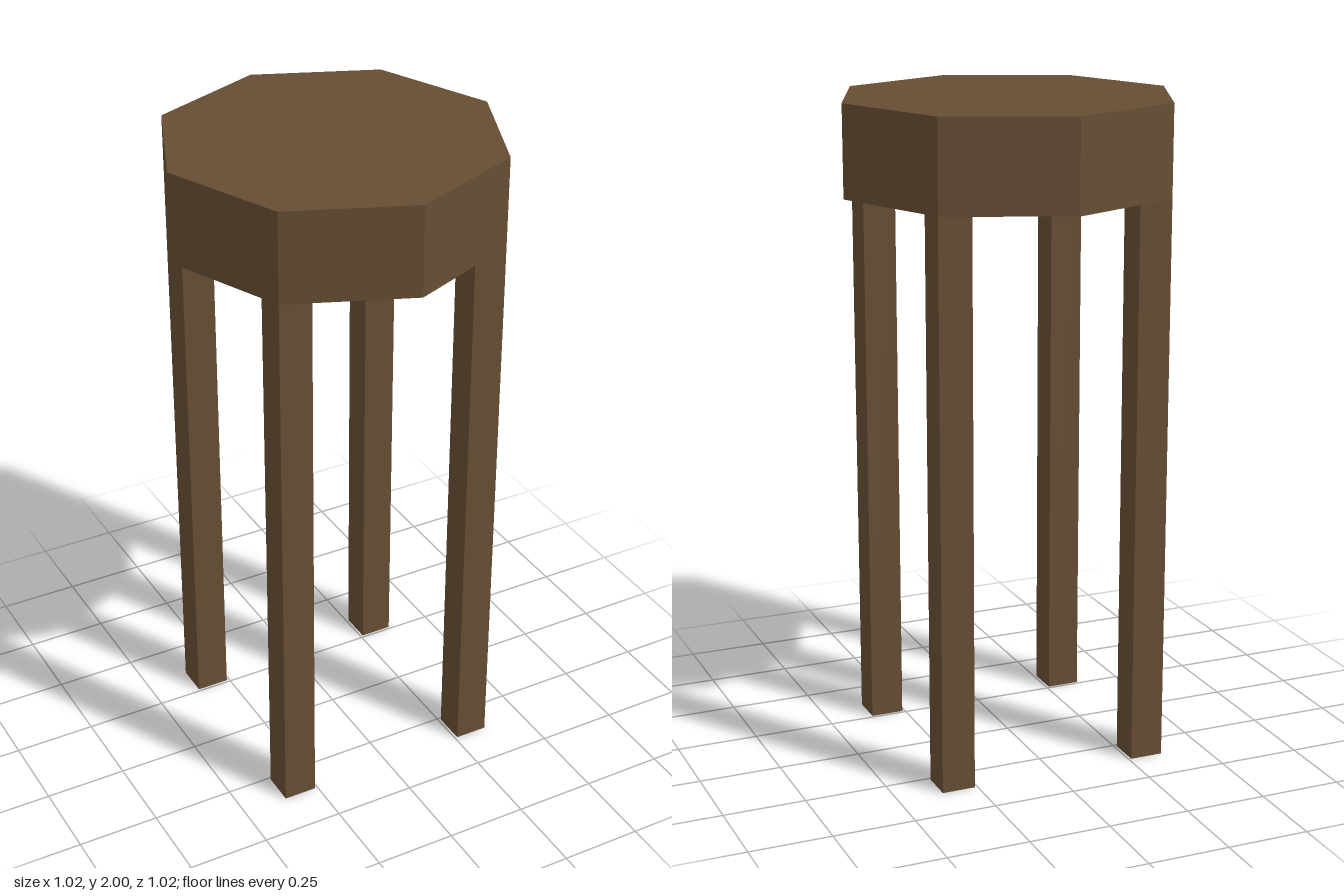
import * as THREE from 'three';

export function createModel() {
  const group = new THREE.Group();
  group.name = 'stool';
  const wood = new THREE.MeshStandardMaterial({ color: 0x664d33 });
  wood.name = 'brown wood';
  wood.flatShading = true;

  const height = 2, seatThickness = 0.275, seatRadius = 0.51;
  const legHeight = height - seatThickness, legWidth = 0.102;

  // Octagonal seat with corners on the x and z axes
  const seat = new THREE.Mesh(new THREE.CylinderGeometry(seatRadius, seatRadius, seatThickness, 8), wood);
  seat.name = 'seat';
  seat.position.y = height - seatThickness / 2;
  group.add(seat);

  // Four square legs, outer corners flush with the diagonal seat corners
  const legGeometry = new THREE.BoxGeometry(legWidth, legHeight, legWidth);
  const offset = seatRadius * Math.SQRT1_2 - legWidth / 2;
  for (const [sz, end] of [[1, 'front'], [-1, 'back']]) {
    for (const [sx, side] of [[1, 'Left'], [-1, 'Right']]) {
      const leg = new THREE.Mesh(legGeometry, wood);
      leg.name = `${end}${side}Leg`;
      leg.position.set(sx * offset, legHeight / 2, sz * offset);
      group.add(leg);
    }
  }
  return group;
}
